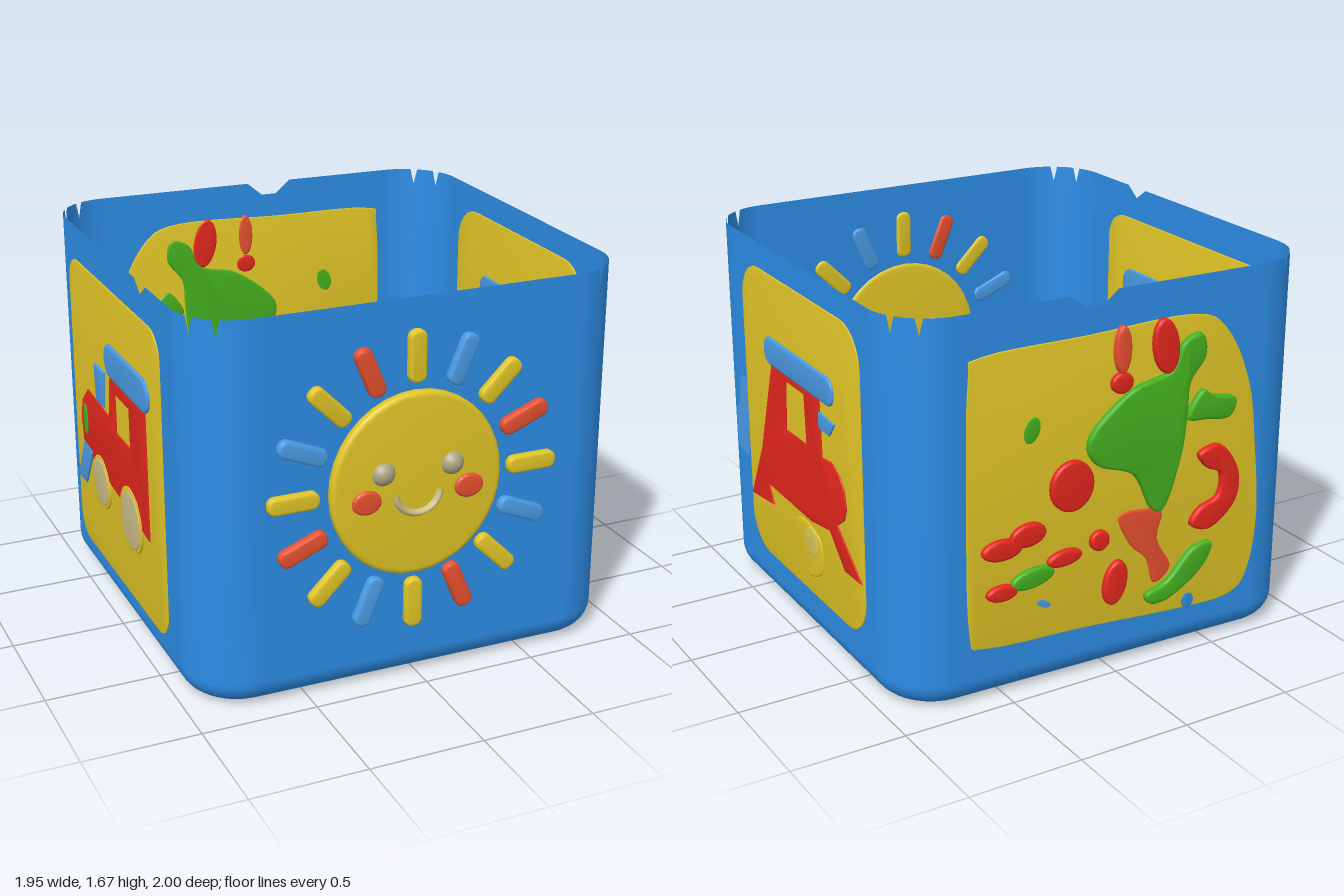
import * as THREE from 'three';
import { toCreasedNormals } from 'three/addons/utils/BufferGeometryUtils.js';

const mat = (name, color, side = THREE.FrontSide) => {
  const m = new THREE.MeshStandardMaterial({ color, side });
  m.name = name;
  return m;
};
const V2 = (x, y) => new THREE.Vector2(x, y);

// ---- outlines ----
const polygon = (pts) => new THREE.Shape(pts.map((p) => V2(p[0], p[1])));
const blob = (pts) => {
  const c = new THREE.CatmullRomCurve3(pts.map((p) => new THREE.Vector3(p[0], p[1], 0)), true, 'catmullrom', 0.5);
  return new THREE.Shape(c.getPoints(pts.length * 5).slice(0, -1).map((p) => V2(p.x, p.y)));
};
const ellipse = (x, y, rx, ry, turn = 0) => {
  const c = new THREE.EllipseCurve(x, y, rx, ry, 0, Math.PI * 2, false, turn);
  return new THREE.Shape(c.getPoints(36).slice(0, -1));
};
// rounded bar centred on x, y, with its long axis turned by an angle
const bar = (x, y, w, h, r, turn = 0) => {
  const pts = [];
  [[1, 1], [-1, 1], [-1, -1], [1, -1]].forEach(([sx, sy], k) => {
    for (let i = 0; i <= 6; i++) {
      const a = (k + i / 6) * Math.PI / 2;
      pts.push(V2(sx * (w / 2 - r) + r * Math.cos(a), sy * (h / 2 - r) + r * Math.sin(a))
        .rotateAround(V2(0, 0), turn).add(V2(x, y)));
    }
  });
  return new THREE.Shape(pts);
};

// ---- box plan: front-left, front-right, back-right, back-left as seen from outside ----
const corners = [V2(-0.96, 0.9), V2(0.94, 0.922), V2(0.957, -0.915), V2(-0.96, -0.98)];
const R = 0.25, TOP = 1.68, FILLET = 0.11, ARC = 24, EDGE = 20;

function planRing(inset) {
  const arcs = corners.map((v, i) => {
    const e1 = corners[(i + 3) % 4].clone().sub(v).normalize();
    const e2 = corners[(i + 1) % 4].clone().sub(v).normalize();
    const c = v.clone().addScaledVector(e1, R).addScaledVector(e2, R);
    return Array.from({ length: ARC + 1 }, (_, k) => {
      const t = k / ARC * Math.PI / 2;
      return c.clone().addScaledVector(e2, -(R - inset) * Math.cos(t)).addScaledVector(e1, -(R - inset) * Math.sin(t));
    });
  });
  return arcs.flatMap((arc, i) => {
    const a = arc[ARC], b = arcs[(i + 1) % 4][0];
    const mid = Array.from({ length: EDGE - 1 }, (_, k) => a.clone().lerp(b, (k + 1) / EDGE));
    return [...arc, ...mid];
  });
}

// small tears in the rim, by position along the ring
function rimDrop(i) {
  const side = Math.floor(i / (ARC + EDGE)), k = i % (ARC + EDGE);
  if (k === 8 || k === 15) return 0.07;
  if (side === 2 && (k === ARC + 8 || k === ARC + 9)) return 0.06;
  if (side === 3 && k === ARC + 15) return 0.05;
  return 0;
}

// the lowest rows of the rounded foot take the floor colour (group 1)
function wallGeometry() {
  const rows = [];
  for (let i = 0; i <= 8; i++) {
    const a = i / 8 * Math.PI / 2;
    rows.push([FILLET * (1 - Math.sin(a)), 0.01 + FILLET * (1 - Math.cos(a))]);
  }
  rows.push([0, 0.8], [0, 1.56], [0, TOP]);
  const pos = [], idx = [];
  let n = 0;
  rows.forEach(([inset, y], j) => {
    const ring = planRing(inset);
    n = ring.length;
    ring.forEach((p, i) => pos.push(p.x, j === rows.length - 1 ? y - rimDrop(i) : y, p.y));
    if (j) for (let i = 0; i < n; i++) {
      const a = (j - 1) * n + i, b = (j - 1) * n + (i + 1) % n;
      idx.push(a, b, b + n, a, b + n, a + n);
    }
  });
  const g = new THREE.BufferGeometry();
  g.setAttribute('position', new THREE.Float32BufferAttribute(pos, 3));
  g.setIndex(idx);
  g.addGroup(0, 3 * n * 6, 1);
  g.addGroup(3 * n * 6, Infinity, 0);
  g.computeVertexNormals();
  return g;
}

export function createModel() {
  const model = new THREE.Group();
  model.name = 'toyBox';
  const blue = mat('blue', 0x2d8de6, THREE.DoubleSide);
  const floorBlue = mat('floorBlue', 0x4c9fe0, THREE.DoubleSide);
  const yellow = mat('yellow', 0xe1c526);
  const red = mat('red', 0xe4271d);
  const coral = mat('coral', 0xe8502f);
  const sky = mat('skyBlue', 0x4a9ce6);
  const green = mat('green', 0x45b01e);
  const grey = mat('warmGrey', 0xaea685);
  const cream = mat('cream', 0xcdbf86);
  const paleYellow = mat('paleYellow', 0xdcc858);

  const add = (parent, name, geo, material) => {
    const m = new THREE.Mesh(geo, material);
    m.name = name;
    parent.add(m);
    return m;
  };

  // open shell and floor
  add(model, 'walls', wallGeometry(), [blue, floorBlue]);
  const floor = new THREE.ShapeGeometry(new THREE.Shape(planRing(FILLET).map((p) => V2(p.x, -p.y))));
  add(model, 'floor', floor.rotateX(-Math.PI / 2).translate(0, 0.01, 0), floorBlue);

  // a flat working frame on each wall: u to the right, y up, z outwards
  const face = (name, i, axis) => {
    const a = corners[i], b = corners[(i + 1) % 4], d = b.clone().sub(a);
    const g = new THREE.Group();
    const o = a.clone().addScaledVector(d, -a[axis] / d[axis]);
    g.position.set(o.x, 0, o.y);
    g.rotation.y = Math.atan2(-d.y, d.x);
    g.name = name;
    model.add(g);
    return g;
  };
  // raised relief that passes through the wall, so it also shows inside
  const relief = (parent, name, shape, material, out, inner = 0.01, bevel = 0.012) => {
    const t = Math.min(bevel, (out + inner) * 0.3);
    const g = new THREE.ExtrudeGeometry(shape, {
      depth: out + inner - 2 * t, bevelThickness: t, bevelSize: bevel, bevelOffset: -bevel, bevelSegments: 3, curveSegments: 20,
    });
    return add(parent, name, toCreasedNormals(g.translate(0, 0, t - inner), 0.7), material);
  };

  // ---- front: smiling sun ----
  const sun = face('sunSide', 0, 'x');
  const cx = -0.035, cy = 0.9;
  relief(sun, 'sunDisc', ellipse(cx, cy, 0.378, 0.397), yellow, 0.045, 0.008, 0.02);
  const rayColours = [yellow, sky, yellow, coral];
  for (let i = 0; i < 16; i++) {
    const a = Math.PI / 2 - i * Math.PI / 8;
    relief(sun, 'sunRay', bar(cx + 0.53 * Math.cos(a), cy + 0.54 * Math.sin(a), 0.22, 0.075, 0.032, a), rayColours[i % 4], 0.035);
  }
  for (const s of [-1, 1]) {
    const eye = add(sun, 'eye', new THREE.SphereGeometry(0.052, 24, 16), grey);
    eye.position.set(cx + s * 0.153, 0.97, 0.03);
    relief(sun, 'cheek', ellipse(cx + s * 0.228, 0.86, 0.064, 0.052), coral, 0.06, 0.012);
  }
  const smile = add(sun, 'smile', new THREE.TorusGeometry(0.1, 0.018, 10, 24, Math.PI * 0.95), cream);
  smile.position.set(cx, 0.878, 0.027);
  smile.rotation.z = Math.PI * 1.025;
  smile.scale.z = 2.2;

  // ---- right: engine without wheels, u runs towards -z ----
  const east = face('redEngineSide', 1, 'y');
  relief(east, 'yellowPanel', bar(0.015, 0.893, 1.15, 1.345, 0.17), yellow, 0.005, 0.006, 0.002);
  const engine = polygon([[-0.26, 1.17], [0.215, 1.17], [0.225, 0.91], [0.315, 0.92], [0.385, 0.89], [0.43, 0.835], [0.445, 0.76],
    [0.42, 0.7], [0.355, 0.655], [0.575, 0.475], [0.415, 0.47], [0.28, 0.6], [0.1, 0.57], [-0.35, 0.575], [-0.305, 0.49],
    [-0.55, 0.46], [-0.41, 0.73]].reverse());
  engine.holes.push(new THREE.Path([V2(-0.115, 1.135), V2(0.065, 1.135), V2(0.075, 0.915), V2(-0.135, 0.91)]));
  relief(east, 'engineBody', engine, red, 0.011, 0.011, 0.004);
  relief(east, 'engineRoof', bar(0.012, 1.225, 0.68, 0.125, 0.055), sky, 0.016, 0.013);
  relief(east, 'engineChimney', polygon([[0.21, 1.035], [0.31, 1.035], [0.36, 1.1], [0.21, 1.11]]), sky, 0.014, 0.012, 0.004);
  relief(east, 'wornWheel', blob([[-0.07, 0.52], [0.05, 0.55], [0.18, 0.5], [0.18, 0.36], [0.05, 0.3], [0, 0.4]]), yellow, 0.01, 0.008);
  relief(east, 'wornHub', ellipse(0.09, 0.47, 0.065, 0.07), paleYellow, 0.012, 0.009, 0.006);
  relief(east, 'scuff', blob([[-0.7, 0.66], [-0.66, 0.635], [-0.58, 0.635], [-0.565, 0.82], [-0.58, 0.99], [-0.64, 0.98], [-0.66, 0.87], [-0.7, 0.8]]),
    sky, 0.003, 0.001, 0);

  // ---- left: engine with wheels, u runs towards +z ----
  const west = face('wheeledEngineSide', 3, 'y');
  relief(west, 'yellowPanel', bar(-0.09, 0.845, 1.22, 1.36, 0.12), yellow, 0.005, 0.006, 0.002);
  const engine2 = polygon([[-0.575, 0.64], [0.33, 0.55], [0.33, 1.14], [-0.135, 1.14], [-0.175, 0.93], [-0.485, 0.95], [-0.575, 0.87], [-0.6, 0.78]]);
  engine2.holes.push(new THREE.Path([V2(-0.075, 0.89), V2(-0.075, 1.07), V2(0.115, 1.07), V2(0.115, 0.89)]));
  relief(west, 'engineBody', engine2, red, 0.011, 0.011, 0.004);
  relief(west, 'engineRoof', bar(0.1, 1.205, 0.58, 0.15, 0.07), sky, 0.018, 0.013);
  relief(west, 'engineChimney', polygon([[-0.34, 0.95], [-0.24, 0.95], [-0.215, 1.12], [-0.355, 1.12]]), sky, 0.016, 0.012, 0.006);
  relief(west, 'engineGuard', polygon([[-0.69, 0.46], [-0.57, 0.46], [-0.44, 0.66], [-0.57, 0.67]]), sky, 0.014, 0.012, 0.004);
  relief(west, 'engineLamp', ellipse(-0.53, 0.79, 0.035, 0.075), green, 0.014, 0.013, 0.004);
  for (const [x, y, r] of [[0.09, 0.55, 0.15], [-0.325, 0.56, 0.125]]) {
    relief(west, 'wheelRim', ellipse(x, y, r, r), yellow, 0.014, 0.013, 0.005);
    relief(west, 'wheel', ellipse(x, y, r * 0.87, r * 0.87), cream, 0.017, 0.015, 0.005);
  }

  // ---- back: splashy plant, u runs towards -x ----
  const back = face('plantSide', 2, 'x');
  back.translateX(-0.037).translateY(0.06);
  relief(back, 'yellowPanel', blob([[-0.63, 1.35], [-0.57, 1.44], [-0.1, 1.45], [0.38, 1.46], [0.56, 1.38], [0.69, 1.12], [0.74, 0.8],
    [0.765, 0.5], [0.73, 0.25], [0.64, 0.15], [0.4, 0.14], [-0.1, 0.17], [-0.55, 0.19], [-0.63, 0.28], [-0.64, 0.85]]), yellow, 0.006, 0.006, 0.002);
  relief(back, 'plantBody', blob([[-0.09, 1.03], [0.1, 1.19], [0.28, 1.24], [0.34, 1.35], [0.43, 1.38], [0.45, 1.28], [0.38, 1.18],
    [0.37, 1.05], [0.35, 0.88], [0.28, 0.66], [0.21, 0.65], [0.12, 0.82], [-0.06, 0.9]]), green, 0.035, 0.012);
  relief(back, 'plantLeaf', blob([[0.37, 1.02], [0.44, 1.13], [0.5, 1.1], [0.61, 1.07], [0.58, 0.99], [0.46, 1.0]]), green, 0.035);
  relief(back, 'greenCurl', blob([[0.2, 0.26], [0.3, 0.3], [0.42, 0.42], [0.52, 0.43], [0.47, 0.32], [0.32, 0.22], [0.22, 0.21]]), green, 0.035);
  relief(back, 'redCurl', blob([[0.44, 0.85], [0.55, 0.87], [0.64, 0.74], [0.63, 0.6], [0.51, 0.5], [0.41, 0.53], [0.45, 0.6], [0.54, 0.64],
    [0.55, 0.74], [0.48, 0.78]]), red, 0.035);
  relief(back, 'redSplash', blob([[0.06, 0.64], [0.18, 0.65], [0.27, 0.62], [0.25, 0.5], [0.32, 0.36], [0.24, 0.3], [0.2, 0.42], [0.12, 0.5]]), coral, 0.015, 0.01, 0.006);
  // spots: u, y, half width, half height, turn
  const spots = [
    [-0.17, 0.83, 0.1, 0.11, 0, red], [0.26, 1.35, 0.06, 0.12, 0.15, red], [0.055, 1.37, 0.038, 0.1, 0, coral],
    [0.055, 1.23, 0.05, 0.045, 0, red], [-0.49, 0.62, 0.09, 0.045, 0, red], [-0.37, 0.66, 0.08, 0.05, 0.1, red],
    [-0.49, 0.43, 0.07, 0.035, 0, red], [-0.35, 0.465, 0.1, 0.042, 0.15, green], [-0.2, 0.52, 0.08, 0.035, 0.1, red],
    [-0.035, 0.56, 0.045, 0.045, 0, red], [0.045, 0.35, 0.055, 0.1, -0.2, red],
  ];
  for (const [u, y, a, b, t, m] of spots) relief(back, 'paintSpot', ellipse(u, y, a, b, t), m, 0.032);
  relief(back, 'greenFleck', ellipse(-0.35, 1.1, 0.035, 0.055, -0.3), green, 0.009, 0.008, 0.002);
  relief(back, 'blueFleck', ellipse(-0.29, 0.33, 0.035, 0.015, -0.5), sky, 0.009, 0.008, 0.002);
  relief(back, 'blueFleck', ellipse(0.42, 0.17, 0.03, 0.035), blue, 0.009, 0.008, 0.002);
  return model;
}
